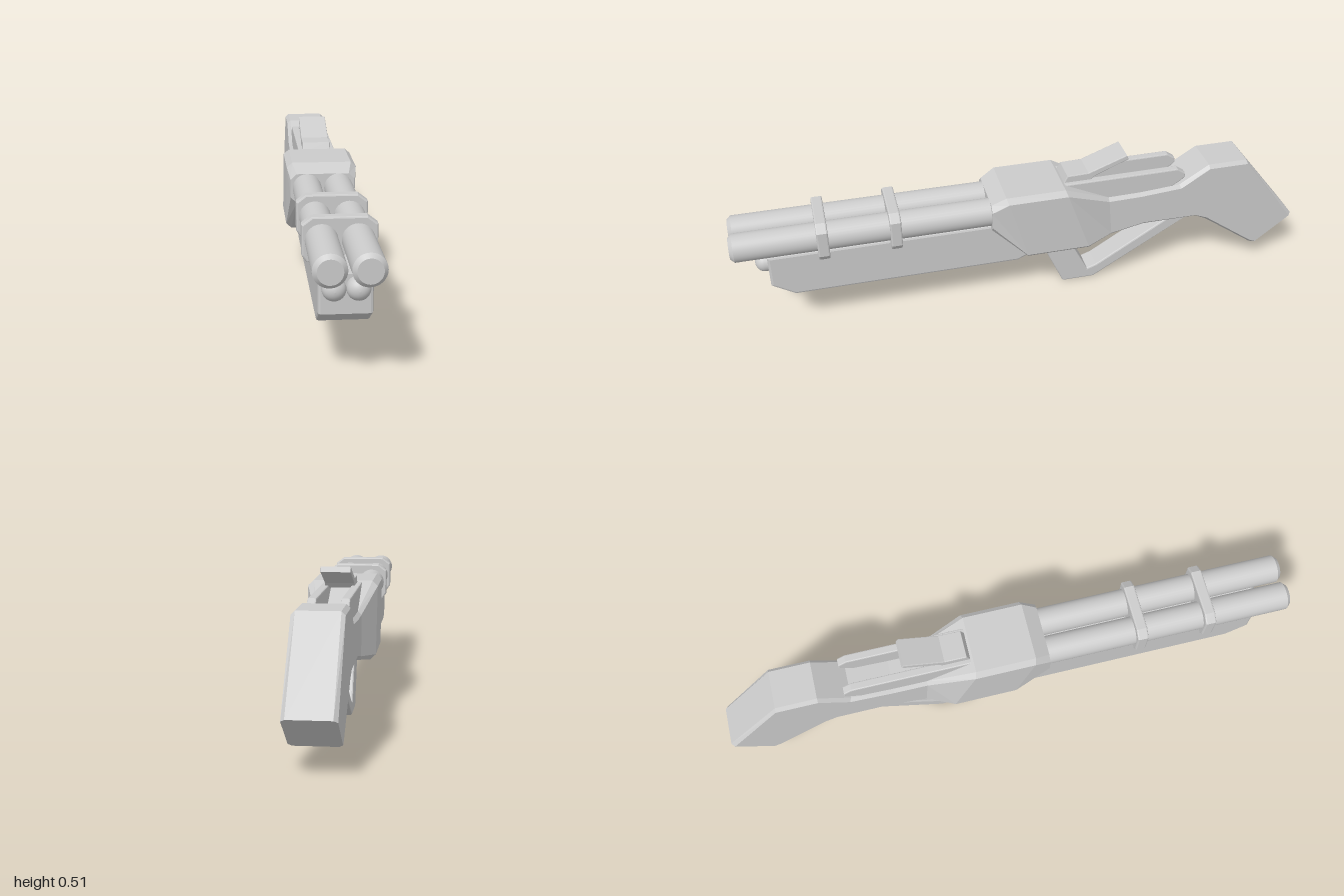
import * as THREE from 'three';

const flat = new THREE.MeshStandardMaterial({ color: 0xcccccc, flatShading: true });
const smooth = new THREE.MeshStandardMaterial({ color: 0xcccccc });

function add(group, name, geometry, material = flat) {
  const mesh = new THREE.Mesh(geometry, material);
  mesh.name = name;
  group.add(mesh);
  return mesh;
}

// Bevelled extrusion of an outline, centred on its depth
function slab(points, half, bevel) {
  const shape = new THREE.Shape(points.map(([a, b]) => new THREE.Vector2(a, b)));
  const g = new THREE.ExtrudeGeometry(shape, {
    depth: 2 * (half - bevel), bevelEnabled: true, bevelThickness: bevel,
    bevelSize: bevel, bevelOffset: -bevel, bevelSegments: 2,
  });
  return g.translate(0, 0, bevel - half);
}

// Side outline given as [z, y], extruded across x
const sideSlab = (points, half, bevel) => slab(points, half, bevel).rotateY(-Math.PI / 2);

// Chamfered cross-sections: [top z, top y, bottom z, bottom y, half width, chamfer]
function loft(stations) {
  const rings = stations.map(([tz, ty, bz, by, w, c]) => {
    const f = c / Math.hypot(tz - bz, ty - by);
    const at = (x, t) => [x, by + (ty - by) * t, bz + (tz - bz) * t];
    const right = [at(w - c, 0), at(w, f), at(w, 1 - f), at(w - c, 1)];
    return [...right, ...right.map(([x, y, z]) => [-x, y, z]).reverse()];
  });
  const pos = [];
  const tri = (...corners) => corners.forEach((p) => pos.push(...p));
  for (let i = 0; i < rings.length - 1; i++) {
    for (let j = 0; j < 8; j++) {
      const k = (j + 1) % 8, a = rings[i], b = rings[i + 1];
      tri(a[j], b[j], a[k]);
      tri(a[k], b[j], b[k]);
    }
  }
  const first = rings[0], last = rings[rings.length - 1];
  for (let j = 1; j < 7; j++) {
    tri(first[0], first[j], first[j + 1]);
    tri(last[0], last[j + 1], last[j]);
  }
  const g = new THREE.BufferGeometry();
  g.setAttribute('position', new THREE.Float32BufferAttribute(pos, 3));
  g.computeVertexNormals();
  return g;
}

// Round part along z from [radius, z] points
const turned = (profile) => new THREE.LatheGeometry(
  profile.map(([r, z]) => new THREE.Vector2(r, z)), 32).rotateX(Math.PI / 2);

export function createModel() {
  const model = new THREE.Group();
  model.name = 'doubleBarrelGun';

  // Receiver tapering into grip and angled butt
  add(model, 'receiverAndStock', loft([
    [0.135, 0.408, 0.135, 0.308, 0.108, 0.02],
    [0.085, 0.436, 0.01, 0.184, 0.118, 0.018],
    [-0.12, 0.436, -0.21, 0.184, 0.118, 0.018],
    [-0.285, 0.358, -0.3, 0.2, 0.077, 0.012],
    [-0.4, 0.36, -0.42, 0.225, 0.077, 0.012],
    [-0.545, 0.37, -0.62, 0.225, 0.077, 0.012],
    [-0.65, 0.436, -0.66, 0.205, 0.077, 0.012],
    [-0.79, 0.436, -0.845, 0.072, 0.077, 0.012],
    [-0.996, 0.178, -0.855, 0.068, 0.077, 0.012],
  ]));

  // Fore-end under the barrels
  add(model, 'foreEnd', sideSlab([
    [0.885, 0.315], [0.885, 0.2], [0.81, 0.153], [0.04, 0.153], [-0.03, 0.185], [-0.03, 0.315],
  ], 0.077, 0.008));

  // Barrels, domed tube plugs and top rails in mirrored pairs
  for (const [side, s] of [['left', 1], ['right', -1]]) {
    // Repeated points keep the muzzle edges crisp
    const barrel = add(model, side + 'Barrel', turned([
      [0.048, 0.09], [0.048, 0.985], [0.048, 0.985], [0.036, 0.998], [0.036, 0.998], [0, 0.998],
    ]), smooth);
    barrel.position.set(s * 0.053, 0.36, 0);

    const dome = [[0.034, 0.87], [0.034, 0.895]];
    for (let i = 1; i <= 8; i++) {
      const a = (i / 8) * Math.PI / 2;
      dome.push([0.034 * Math.cos(a), 0.895 + 0.031 * Math.sin(a)]);
    }
    const plug = add(model, side + 'TubePlug', turned(dome), smooth);
    plug.position.set(s * 0.034, 0.277, 0);

    const rail = add(model, side + 'TopRail', sideSlab([
      [-0.1, 0.432], [-0.1, 0.35], [-0.5, 0.355], [-0.55, 0.385], [-0.565, 0.4],
      [-0.562, 0.416], [-0.535, 0.434],
    ], 0.014, 0.004));
    rail.position.x = s * 0.051;
  }

  // Clamping bands around both barrels
  const half = [[0.095, 0.294], [0.11, 0.315], [0.11, 0.405], [0.08, 0.428]];
  const band = [...half, ...half.map(([x, y]) => [-x, y]).reverse()];
  for (const z of [0.7, 0.46]) {
    add(model, 'barrelBand', slab(band, 0.019, 0.005)).position.z = z;
  }

  // Opening lever on top
  add(model, 'topLever', sideSlab([
    [-0.125, 0.425], [-0.14, 0.456], [-0.215, 0.458], [-0.35, 0.509], [-0.357, 0.492],
    [-0.235, 0.442], [-0.22, 0.425],
  ], 0.049, 0.003));

  // Loop lever below the grip
  add(model, 'loopLever', sideSlab([
    [-0.045, 0.2], [-0.135, 0.003], [-0.25, 0.003], [-0.635, 0.235], [-0.555, 0.235],
    [-0.26, 0.054], [-0.226, 0.042], [-0.145, 0.2],
  ], 0.043, 0.005));

  return model;
}
